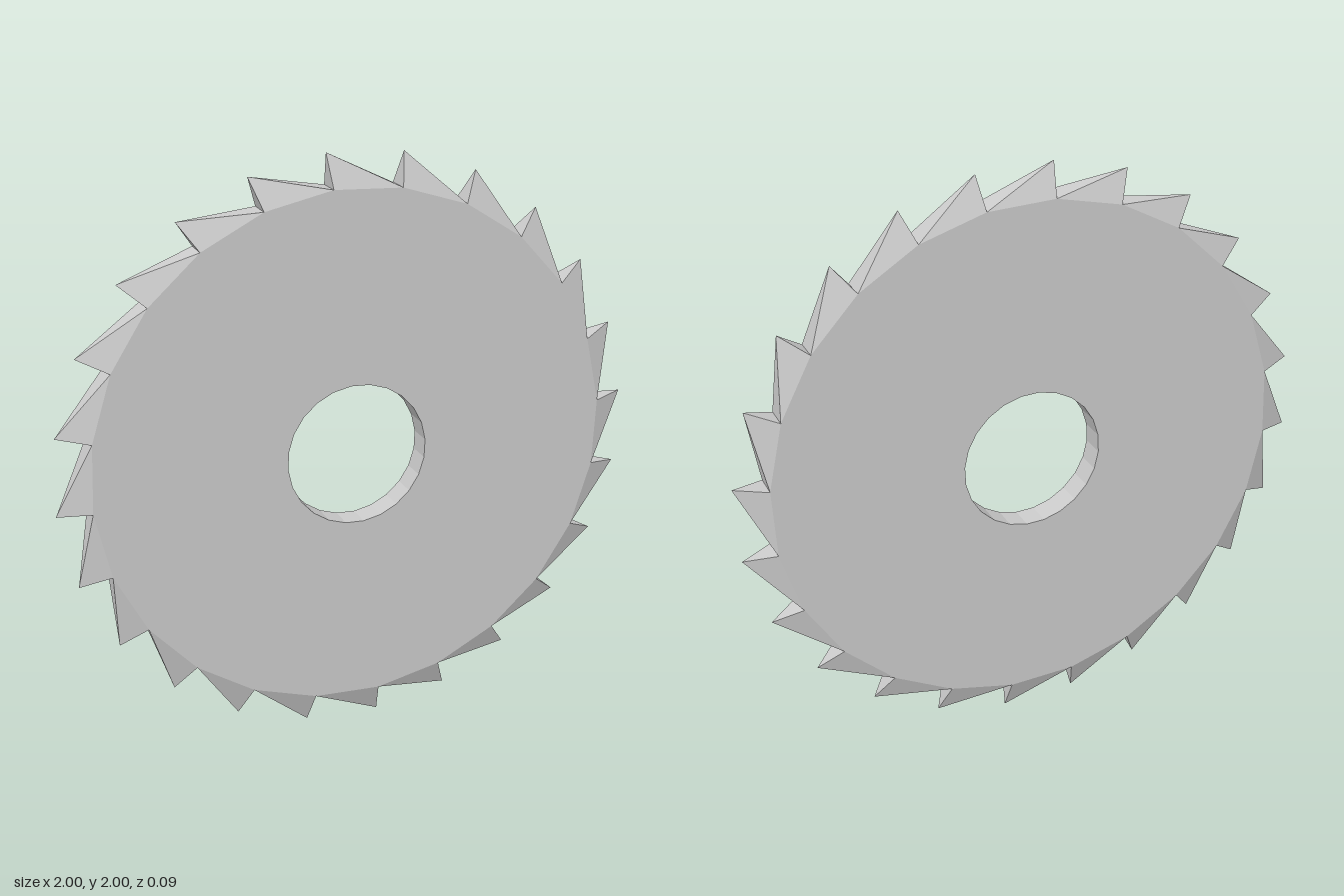
import * as THREE from 'three';

const TEETH = 24;
const STEP = (Math.PI * 2) / TEETH;
const PHASE = THREE.MathUtils.degToRad(5.1); // angle of the first tooth tip
const ROOT_R = 0.894, TIP_R = 1.004, HOLE_R = 0.243, HALF = 0.045;

const polar = (r, a, z) => new THREE.Vector3(r * Math.cos(a), r * Math.sin(a), z);

// One tooth: a wedge whose base spans the rim and whose point lies on the mid-plane
function toothGeometry() {
  const a1 = polar(ROOT_R, 0, HALF), a2 = polar(ROOT_R, 0, -HALF);
  const b1 = polar(ROOT_R, -STEP, HALF), b2 = polar(ROOT_R, -STEP, -HALF);
  const tip = polar(TIP_R, 0, 0);
  const geometry = new THREE.BufferGeometry().setFromPoints([
    a1, b1, tip, // front flank
    b2, a2, tip, // back flank
    a2, a1, tip, // steep cutting face
    b1, b2, tip, // long sloping back
  ]);
  geometry.computeVertexNormals();
  return geometry;
}

export function createModel() {
  const group = new THREE.Group();
  group.name = 'circularSawBlade';
  const material = new THREE.MeshStandardMaterial({ color: 0xcccccc, flatShading: true });

  // Flat disc with the arbor hole; the rim is closed by the teeth
  const profile = [[ROOT_R, HALF], [HOLE_R, HALF], [HOLE_R, -HALF], [ROOT_R, -HALF]]
    .map(([r, y]) => new THREE.Vector2(r, y));
  const discGeometry = new THREE.LatheGeometry(profile, TEETH, PHASE);
  discGeometry.rotateX(Math.PI / 2);
  const disc = new THREE.Mesh(discGeometry, material);
  disc.name = 'disc';

  // Ring of teeth
  const teeth = new THREE.Group();
  teeth.name = 'teeth';
  const geometry = toothGeometry();
  for (let i = 0; i < TEETH; i++) {
    const tooth = new THREE.Mesh(geometry, material);
    tooth.name = `tooth${i + 1}`;
    tooth.rotation.z = PHASE + i * STEP;
    teeth.add(tooth);
  }

  group.add(disc, teeth);
  group.position.y = 1;
  return group;
}
